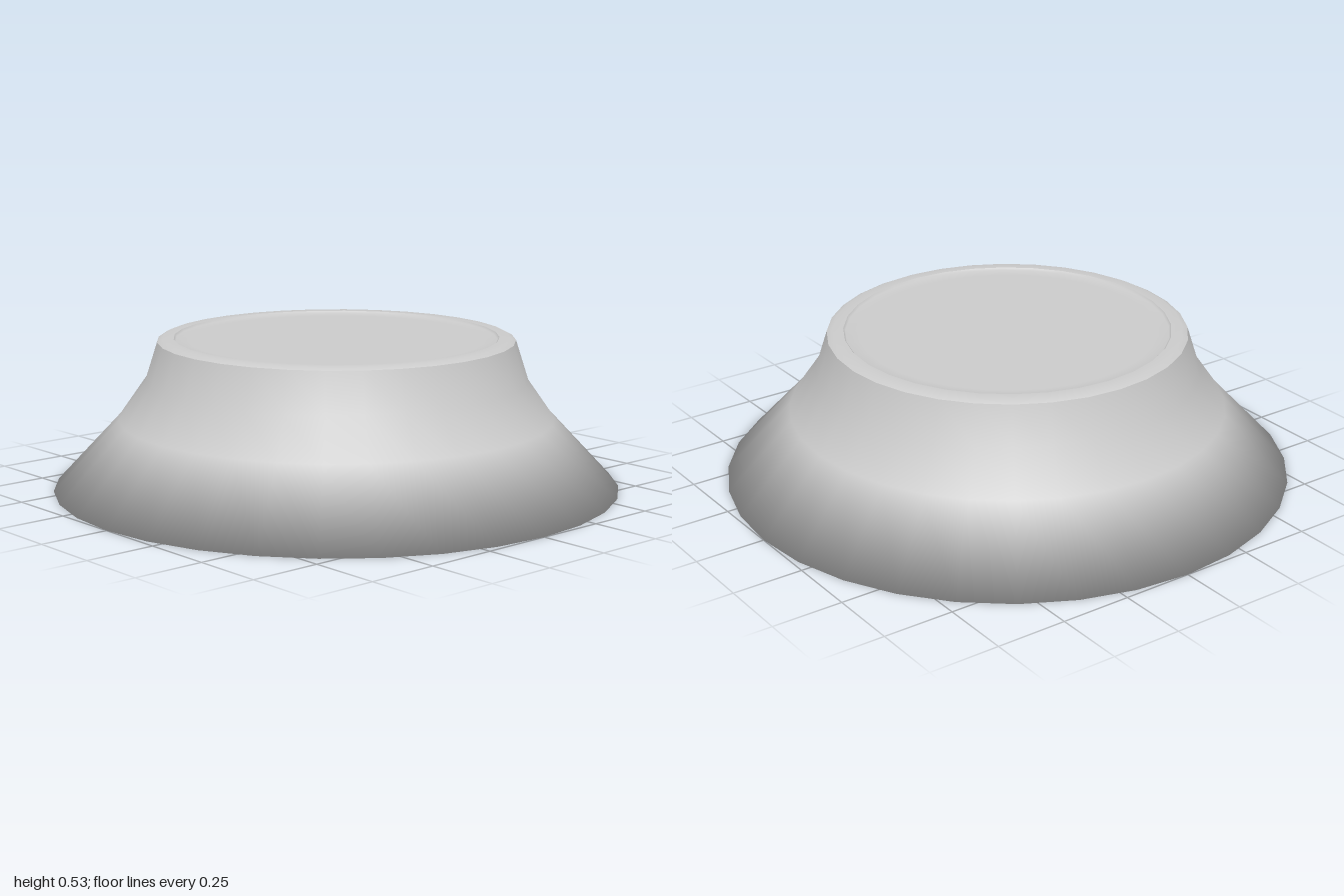
import * as THREE from 'three';

const SEGMENTS = 32;

// Revolves a profile of [radius, height] pairs, listed from the underside
// outwards, up the wall and back in across the top.
function turned(name, profile) {
  const points = profile.map(([r, y]) => new THREE.Vector2(r, y));
  const mesh = new THREE.Mesh(
    new THREE.LatheGeometry(points, SEGMENTS),
    new THREE.MeshStandardMaterial({ color: 0xcccccc })
  );
  mesh.name = name;
  return mesh;
}

export function createModel() {
  const model = new THREE.Group();
  model.name = 'flaredBase';

  // Flat underside running smoothly into the flared wall
  model.add(turned('flaredBody', [
    [0, 0], [0.57, 0], [1, 0], [0.77, 0.245], [0.675, 0.38], [0.63, 0.52],
  ]));

  // Narrow rim with a softened outer edge
  model.add(turned('topRim', [[0.63, 0.52], [0.61, 0.53], [0.572, 0.53]]));

  // Shallow recessed top
  model.add(turned('recessedTop', [
    [0.572, 0.53], [0.565, 0.522], [0.52, 0.519], [0, 0.519],
  ]));

  return model;
}
